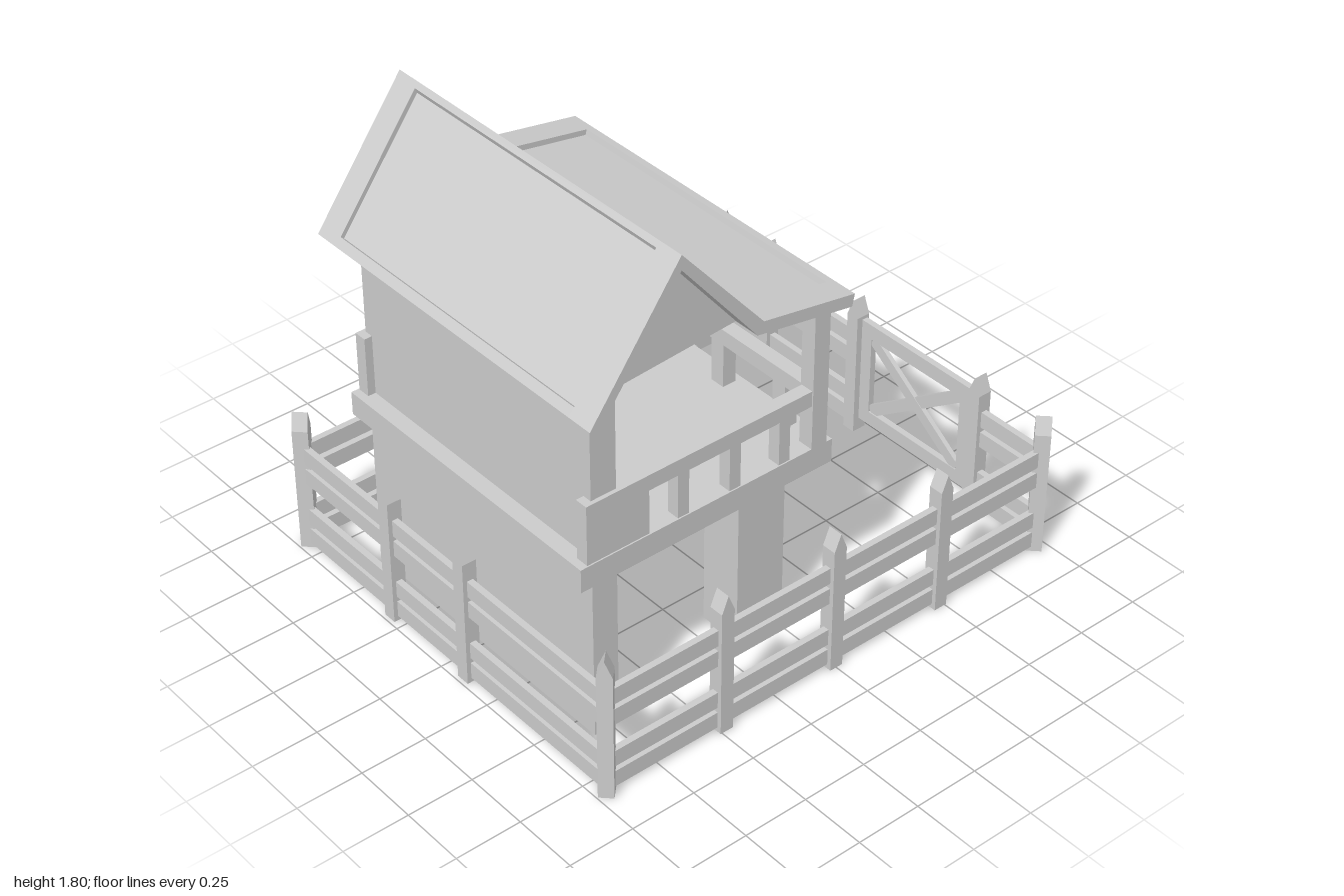
import * as THREE from 'three';

const mat = new THREE.MeshStandardMaterial({ color: 0xcccccc, flatShading: true });

export function createModel() {
  const model = new THREE.Group();

  const add = (name, geometry, parent = model) => {
    const mesh = new THREE.Mesh(geometry, mat);
    mesh.name = name;
    parent.add(mesh);
    return mesh;
  };
  const group = (name) => {
    const g = new THREE.Group();
    g.name = name;
    model.add(g);
    return g;
  };
  // Box given by its limits on each axis
  const box = (name, x0, x1, y0, y1, z0, z1, parent) => {
    const m = add(name, new THREE.BoxGeometry(x1 - x0, y1 - y0, z1 - z0), parent);
    m.position.set((x0 + x1) / 2, (y0 + y1) / 2, (z0 + z1) / 2);
    return m;
  };
  // Outline in x, y swept from z0 to z1
  const prism = (name, pts, z0, z1, parent) => {
    const shape = new THREE.Shape(pts.map(([x, y]) => new THREE.Vector2(x, y)));
    const g = new THREE.ExtrudeGeometry(shape, { depth: z1 - z0, bevelEnabled: false });
    g.translate(0, 0, z0);
    return add(name, g, parent);
  };
  const lerp = (p, q, t) => [p[0] + (q[0] - p[0]) * t, p[1] + (q[1] - p[1]) * t];

  // Platform, supports and back wall
  box('platform', -0.88, 0.17, 0.64, 0.73, -0.61, 0.61);
  box('lowerWall', -0.82, -0.72, 0, 0.64, -0.59, 0.59);
  box('upperWall', -0.82, -0.72, 0.73, 1.36, -0.59, 0.59);
  for (const s of [-1, 1]) {
    box('supportPost', -0.17, 0.03, 0, 0.64, s * 0.455 - 0.085, s * 0.455 + 0.085);
    box('roofPost', 0.08, 0.145, 0.73, 1.33, s * 0.58 - 0.03, s * 0.58 + 0.03);
  }

  // Railings on both long sides, and beside the ramp
  for (const s of [-1, 1]) {
    const rail = group('sideRailing');
    const z0 = s * 0.58 - 0.025, z1 = s * 0.58 + 0.025;
    box('railingPanel', -0.85, -0.6, 0.73, 0.96, z0, z1, rail);
    box('handrail', -0.6, 0.08, 0.9, 0.96, z0, z1, rail);
    for (const x of [-0.46, -0.245, -0.035]) {
      box('baluster', x - 0.023, x + 0.023, 0.73, 0.9, z0, z1, rail);
    }
  }
  const endRail = group('endRailing');
  box('handrail', 0.085, 0.14, 0.9, 0.96, -0.2, 0.55, endRail);
  for (const z of [0.44, 0.135, -0.17]) {
    box('baluster', 0.085, 0.14, 0.73, 0.9, z - 0.03, z + 0.03, endRail);
  }

  // Roof: raised rim around recessed panels, over a closed gable
  const roof = group('roof');
  const [A, B, C, D] = [[-0.905, 1.325], [-0.55, 1.805], [-0.22, 1.42], [0.16, 1.355]];
  const [a, b, c, d] = [[-0.875, 1.305], [-0.55, 1.75], [-0.245, 1.378], [0.15, 1.31]];
  for (const s of [-1, 1]) {
    prism('roofRim', [A, a, b, c, d, D, C, B], s * 0.65 - 0.05, s * 0.65 + 0.05, roof);
  }
  prism('roofPanels',
    [[-0.892, 1.316], a, b, c, d, [0.156, 1.335], [-0.228, 1.4], [-0.55, 1.775]], -0.6, 0.6, roof);
  prism('backEave', [A, a, lerp(a, b, 0.06), lerp(A, B, 0.06)], -0.6, 0.6, roof);
  prism('frontEave', [D, lerp(D, C, 0.08), lerp(d, c, 0.08), d], -0.6, 0.6, roof);
  prism('ridgeStrip', [lerp(B, A, 0.04), b, lerp(B, C, 0.04), B], -0.6, 0.6, roof);
  prism('valleyStrip', [lerp(C, B, 0.05), c, lerp(C, D, 0.05), C], -0.6, 0.6, roof);
  prism('gable', [[-0.84, 1.34], [-0.24, 1.38], [-0.55, 1.755]], -0.6, 0.6, roof);

  // Ramp with cleats
  const ramp = group('ramp');
  const top = [0.17, 0.71], foot = [0.72, 0.03];
  prism('rampBoard', [top, [0.17, 0.65], [0.67, 0.03], foot], -0.57, -0.19, ramp);
  for (let i = 0; i < 7; i++) {
    const p = lerp(top, foot, 0.03 + i * 0.157);
    const cleat = add('cleat', new THREE.BoxGeometry(0.055, 0.035, 0.38), ramp);
    cleat.position.set(p[0] + 0.004, p[1] + 0.004, -0.38);
    cleat.rotation.z = Math.atan2(foot[1] - top[1], foot[0] - top[0]);
  }

  // Pointed fence posts, with the ridge of the point along local z
  const fence = group('fence');
  const post = (x, z, turn) => {
    const w = 0.0265;
    const m = prism('fencePost',
      [[-w, 0], [w, 0], [w, 0.5], [0, 0.565], [-w, 0.5]], -0.028, 0.028, fence);
    m.position.set(x, 0, z);
    m.rotation.y = turn;
  };
  const fx = 0.957, fz = 0.82;
  for (const sx of [-1, 1]) {
    for (const sz of [-1, 1]) post(sx * fx, sz * fz, sx * sz * Math.PI / 4);
  }
  for (const sz of [-1, 1]) {
    for (const x of [-0.48, 0, 0.48]) post(x, sz * fz, 0);
  }
  for (const z of [-0.31, 0.1]) post(-fx, z, Math.PI / 2);
  for (const z of [-0.58, -0.1, 0.515]) post(fx, z, Math.PI / 2);

  // Four rails on every side, open at the gate
  for (const y of [0.05, 0.135, 0.31, 0.395]) {
    const y0 = y - 0.032, y1 = y + 0.032, t = 0.012;
    for (const sz of [-1, 1]) box('rail', -fx, fx, y0, y1, sz * fz - t, sz * fz + t, fence);
    box('rail', -fx - t, -fx + t, y0, y1, -fz, fz, fence);
    box('rail', fx - t, fx + t, y0, y1, -fz, -0.1, fence);
    box('rail', fx - t, fx + t, y0, y1, 0.515, fz, fence);
  }

  // Gate with crossed braces and hinges
  const gate = group('gate');
  const g0 = fx - 0.012, g1 = fx + 0.012;
  box('gateTop', g0, g1, 0.435, 0.495, -0.065, 0.48, gate);
  box('gateBottom', g0, g1, 0.06, 0.115, -0.065, 0.48, gate);
  box('gateStile', g0, g1, 0.06, 0.495, 0.435, 0.48, gate);
  box('gateStile', g0, g1, 0.06, 0.495, -0.065, -0.015, gate);
  for (const s of [-1, 1]) {
    const brace = add('gateBrace', new THREE.BoxGeometry(0.016 + s * 0.002, 0.045, 0.54), gate);
    brace.position.set(fx, 0.275, 0.21);
    brace.rotation.x = s * Math.atan2(0.32, 0.45);
  }
  for (const y of [0.155, 0.44]) {
    box('hinge', fx, 0.998, y - 0.022, y + 0.022, -0.08, -0.05, gate);
  }

  return model;
}
